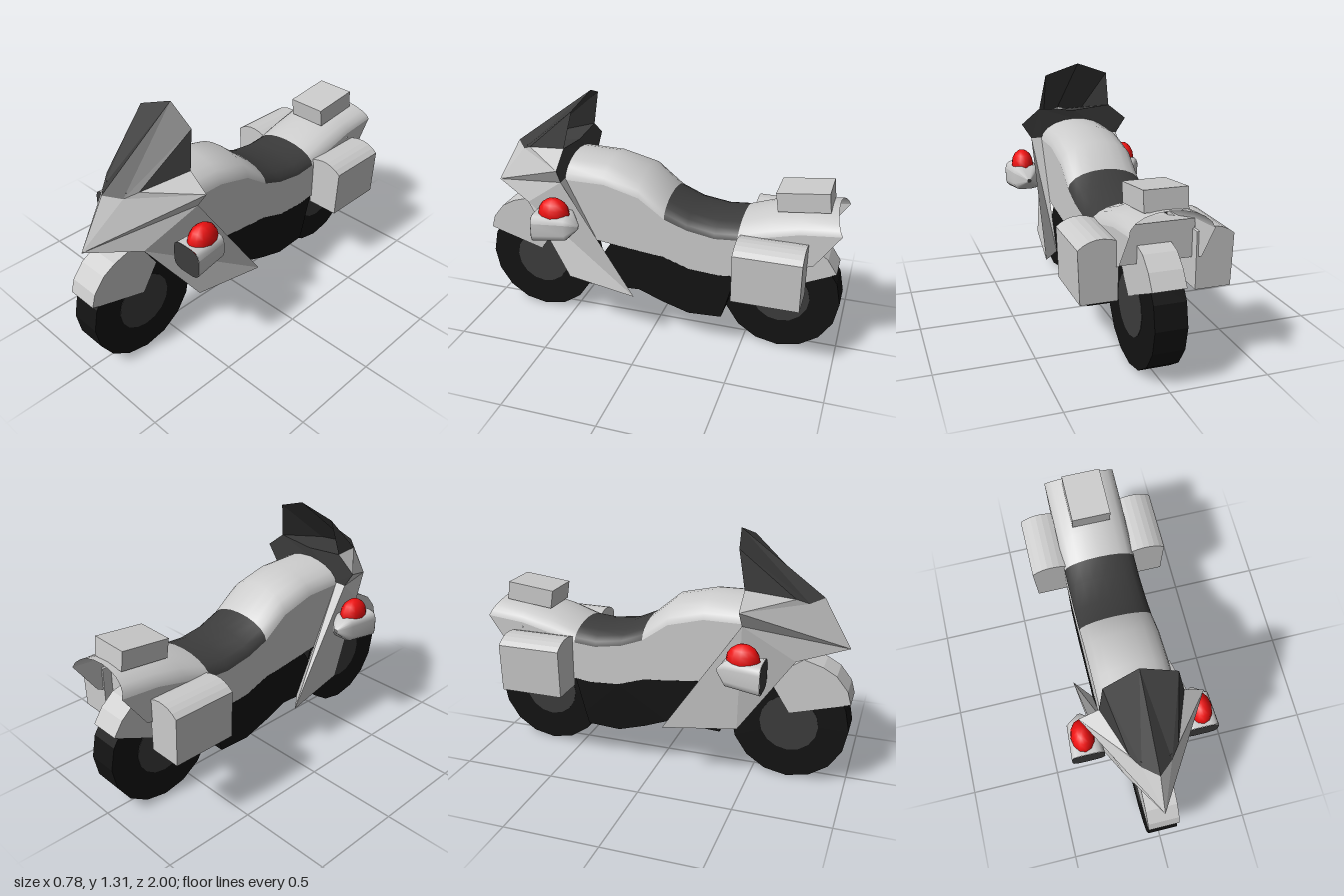
import * as THREE from 'three';

const GREY = 0xcccccc, DARK = 0x3c3c3c, BLACK = 0x131313, RED = 0xee1010;

export function createModel() {
  const model = new THREE.Group();

  const add = (name, geo, color, flatShading = false) => {
    const mat = new THREE.MeshStandardMaterial({ color, flatShading, side: THREE.DoubleSide });
    const mesh = new THREE.Mesh(geo, mat);
    mesh.name = name;
    model.add(mesh);
    return mesh;
  };

  // Side outline given as [z, y], extruded across x
  const slab = (name, color, outline, halfWidth, x = 0) => {
    const shape = new THREE.Shape(outline.map(([z, y]) => new THREE.Vector2(z, y)));
    const geo = new THREE.ExtrudeGeometry(shape, { depth: 2 * halfWidth, bevelEnabled: false });
    geo.rotateY(-Math.PI / 2).translate(halfWidth + x, 0, 0);
    return add(name, geo, color);
  };

  // Flat facets from polygons of points, optionally mirrored in x
  const facets = (name, color, polys, mirror = true) => {
    const pos = [];
    const fan = (p) => {
      for (let i = 1; i < p.length - 1; i++) pos.push(...p[0], ...p[i], ...p[i + 1]);
    };
    for (const p of polys) {
      fan(p);
      if (mirror) fan(p.map(([x, y, z]) => [-x, y, z]).reverse());
    }
    const geo = new THREE.BufferGeometry();
    geo.setAttribute('position', new THREE.Float32BufferAttribute(pos, 3));
    geo.computeVertexNormals();
    return add(name, geo, color, true);
  };

  // Smooth skin through equal-length rings of points
  const loft = (name, color, rings) => {
    const n = rings[0].length, index = [];
    for (let r = 0; r < rings.length - 1; r++)
      for (let i = 0; i < n - 1; i++) {
        const a = r * n + i, b = a + n;
        index.push(a, a + 1, b, b, a + 1, b + 1);
      }
    const geo = new THREE.BufferGeometry();
    geo.setAttribute('position', new THREE.Float32BufferAttribute(rings.flat(2), 3));
    geo.setIndex(index);
    geo.computeVertexNormals();
    return add(name, geo, color);
  };

  // Wheels
  for (const [name, z] of [['front', 0.69], ['rear', -0.69]]) {
    const part = (label, r, w, color) => {
      const geo = new THREE.CylinderGeometry(r, r, w, 16).rotateZ(Math.PI / 2);
      add(name + label, geo, color, true).position.set(0, 0.308, z);
    };
    part('Tyre', 0.31, 0.16, BLACK);
    part('Hub', 0.155, 0.164, DARK);
  }

  // Fenders
  slab('frontFender', GREY, [[1, 0.46], [0.98, 0.53], [0.92, 0.605], [0.85, 0.645], [0.75, 0.675],
    [0.67, 0.62], [0.6, 0.51], [0.69, 0.37]], 0.084);
  slab('rearFender', GREY, [[-0.97, 0.485], [-0.92, 0.56], [-0.85, 0.62], [-0.7, 0.66], [-0.58, 0.6],
    [-0.55, 0.5], [-0.62, 0.42], [-0.68, 0.35]], 0.084);

  // Engine block
  slab('engine', BLACK, [[0.35, 0.26], [0.35, 0.33], [0.22, 0.53], [0, 0.505], [-0.07, 0.5], [-0.22, 0.45],
    [-0.38, 0.44], [-0.47, 0.45], [-0.42, 0.26], [-0.4, 0.19], [-0.22, 0.18], [-0.07, 0.225], [0.06, 0.275]], 0.2);

  // Body: straight sides with arched tank, seat and tail on top; stations are [z, edge y, crown y, edge z]
  const tank = [[0.47, 0.87, 0.98], [0.25, 0.87, 0.975], [0.06, 0.82, 0.93], [-0.08, 0.72, 0.81]];
  const seat = [[-0.08, 0.72, 0.81], [-0.2, 0.675, 0.755], [-0.35, 0.65, 0.735], [-0.47, 0.66, 0.745]];
  const tail = [[-0.47, 0.66, 0.745], [-0.62, 0.7, 0.8], [-0.78, 0.74, 0.83], [-0.945, 0.76, 0.845, -0.985]];
  const arch = ([z, edge, crown, edgeZ = z]) => Array.from({ length: 11 }, (_, i) => {
    const a = Math.PI * i / 10, s = Math.sin(a);
    return [0.2 * Math.cos(a), edge + (crown - edge) * s, edgeZ + (z - edgeZ) * s];
  });
  loft('tank', GREY, tank.map(arch));
  loft('seat', DARK, seat.map(arch));
  loft('tail', GREY, tail.map(arch));
  facets('tankFront', DARK, [arch(tank[0])], false);
  const edgeLine = [...tank, ...seat.slice(1), ...tail.slice(1, 3)].map(([z, y]) => [z, y]);
  slab('bodySides', GREY, [...edgeLine, [-0.78, 0.55], [-0.5, 0.45], [-0.38, 0.44], [-0.22, 0.45],
    [-0.07, 0.5], [0, 0.505], [0.22, 0.53], [0.4, 0.55]], 0.199);
  facets('tailFlap', GREY, [[[0.2, 0.74, -0.78], [0.2, 0.76, -0.985], [0.2, 0.58, -0.86], [0.2, 0.55, -0.78]]]);

  // Top case
  slab('topCase', GREY, [[-0.635, 0.905], [-0.9, 0.935], [-0.912, 0.835], [-0.65, 0.805]], 0.106);

  // Side cases with curved lids
  for (const s of [1, -1]) {
    const shape = new THREE.Shape();
    shape.moveTo(0.19 * s, 0.405);
    shape.lineTo(0.37 * s, 0.405);
    shape.lineTo(0.38 * s, 0.665);
    shape.quadraticCurveTo(0.3 * s, 0.735, 0.19 * s, 0.69);
    const geo = new THREE.ExtrudeGeometry(shape, { depth: 0.345, bevelEnabled: false, curveSegments: 6 });
    add('sideCase', geo.translate(0, 0, -0.828), GREY);
  }

  // Front fairing
  const nose = [0, 0.73, 0.97], crown = [0, 0.985, 0.825], chin = [0, 0.665, 0.72];
  const b1 = [0.075, 0.97, 0.76], b2 = [0.12, 1.0, 0.7], b3 = [0.21, 1.05, 0.46];
  const wide = [0.315, 0.965, 0.46], hip = [0.26, 0.88, 0.465], lip = [0.15, 0.685, 0.72];
  const toe = [0.24, 0.31, 0.45], heel = [0.29, 0.28, 0.06];
  const inTop = [0.2, 0.88, 0.465], inLow = [0.2, 0.28, 0.17], duct = [0.08, 0.42, 0.42];
  facets('fairingNose', GREY, [
    [nose, b1, crown], [nose, wide, b1], [b1, wide, b2], [b2, wide, b3],
    [nose, hip, wide], [nose, lip, hip], [nose, chin, lip],
  ]);
  facets('fairingSide', GREY, [
    [lip, toe, heel, hip], [hip, heel, inLow, inTop], [toe, inLow, heel],
  ]);
  facets('fairingInside', GREY, [
    [lip, duct, toe], [chin, [0, 0.42, 0.42], duct, lip], [duct, inLow, toe],
  ]);
  facets('dashboard', DARK, [
    [b3, wide, hip, inTop], [[0, 0.98, 0.465], [0, 1.03, 0.46], b3, inTop],
    [[0, 1.03, 0.46], [0, 0.975, 0.8], b2, b3],
  ]);

  // Windscreen
  const peak = [0, 1.31, 0.385], corner = [0.18, 1.245, 0.42];
  facets('windscreen', DARK, [[crown, b1, peak], [b1, corner, peak], [b1, b2, corner], [b2, b3, corner]]);

  // Lamps: rounded housing, dark lens and red dome
  const ring = (s, z, scale, dy) => Array.from({ length: 17 }, (_, i) => {
    const a = Math.PI * (i + 0.5) / 8, c = Math.cos(a), d = Math.sin(a);
    const round = (v) => Math.sign(v) * Math.pow(Math.abs(v), 0.5);
    return [s * 0.305 + 0.088 * scale * round(c), 0.647 + dy + 0.08 * scale * round(d), z];
  });
  for (const s of [1, -1]) {
    loft('lampHousing', GREY, [ring(s, 0.59, 1, 0), ring(s, 0.41, 0.86, 0.015), ring(s, 0.355, 0.1, 0.01)]);
    facets('lampLens', DARK, [ring(s, 0.591, 1, 0).slice(0, 16)], false);
    const dome = add('redDome', new THREE.SphereGeometry(1, 12, 8), RED);
    dome.scale.set(0.062, 0.085, 0.087);
    dome.position.set(s * 0.312, 0.725, 0.488);
  }

  return model;
}
